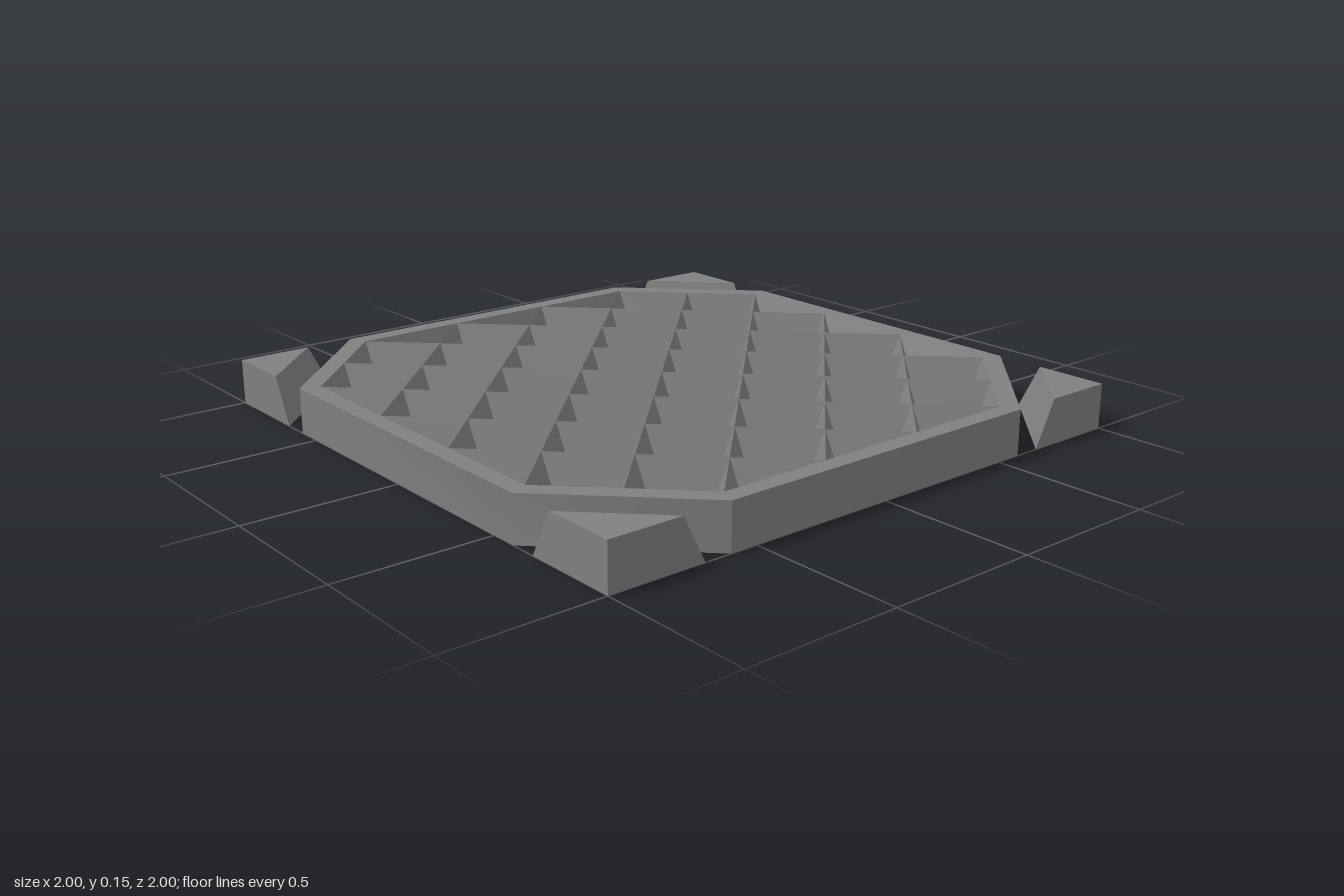
import * as THREE from 'three';
import { toCreasedNormals } from 'three/addons/utils/BufferGeometryUtils.js';

const H = 0.15;        // tile height
const U = 0.188;       // half the lattice pitch
const DRAFT = 0.053;   // sideways slope from bottom to top

const flat = new THREE.MeshStandardMaterial({ color: 0x808080, flatShading: true, side: THREE.DoubleSide });
const smooth = new THREE.MeshStandardMaterial({ color: 0x808080, side: THREE.DoubleSide });

// Strip of quads between two matching rows of points
function skin(rowA, rowB, closed = true) {
  const pos = [];
  const n = rowA.length;
  for (let i = 0; i < (closed ? n : n - 1); i++) {
    const k = (i + 1) % n;
    pos.push(...rowA[i], ...rowB[i], ...rowB[k], ...rowA[i], ...rowB[k], ...rowA[k]);
  }
  const geo = new THREE.BufferGeometry();
  geo.setAttribute('position', new THREE.Float32BufferAttribute(pos, 3));
  geo.computeVertexNormals();
  return geo;
}

// Octagon with flat sides at +-s whose diagonals start at +-t
function octagon(s, t, y) {
  return [[s, -t], [s, t], [t, s], [-t, s], [-s, t], [-s, -t], [-t, -s], [t, -s]]
    .map(([x, z]) => [x, y, z]);
}

// Hole wall: outline at the top, drawn in towards its incentre at the bottom
function funnel(outline, [cx, cz], inradius) {
  const f = 1 - DRAFT / inradius;
  return skin(
    outline.map(([x, z]) => [cx + x, H, cz + z]),
    outline.map(([x, z]) => [cx + x * f, 0, cz + z * f]),
  );
}

export function createModel() {
  const root = new THREE.Group();
  root.name = 'latticeTile';
  const add = (geo, name, parent = root, material = flat) => {
    const mesh = new THREE.Mesh(geo, material);
    mesh.name = name;
    parent.add(mesh);
    return mesh;
  };

  // Frame: flat rim, and outer walls softened at every second corner
  const low = octagon(1, 0.59, 0);
  const high = octagon(1, 0.59, H);
  add(skin(high, octagon(5 * U, 3 * U, H)), 'frameRim');
  for (let k = 1; k < 8; k += 2) {
    const pick = (ring) => [0, 1, 2].map((i) => ring[(k + i) % 8]);
    add(toCreasedNormals(skin(pick(low), pick(high), false), 1), 'frameWall', root, smooth);
  }

  // Lattice: neighbouring hole walls meet in ridges, hollow underneath
  const lattice = new THREE.Group();
  lattice.name = 'lattice';
  root.add(lattice);
  const diamond = [[U, 0], [0, U], [-U, 0], [0, -U]];
  for (let i = -4; i <= 4; i++) {
    for (let j = -4; j <= 4; j++) {
      if ((i + j) % 2 === 0 || Math.abs(i) + Math.abs(j) > 7) continue;
      add(funnel(diamond, [i * U, j * U], U / Math.SQRT2), 'latticeHole', lattice);
    }
  }

  // Half holes along the four straight sides
  const r = U * (Math.SQRT2 - 1);
  const triangle = [[U, r], [-U, r], [0, r - U]];
  for (let side = 0; side < 4; side++) {
    for (const i of [-2, 0, 2]) {
      const hole = add(funnel(triangle, [i * U, 5 * U - r], r), 'latticeHalfHole', lattice);
      hole.rotation.y = side * Math.PI / 2;
    }
  }

  // Loose corner wedges, wider at the bottom and hollow
  const corner = (t, y) => [[1, y, t], [1, y, 1], [t, y, 1]];
  const top = corner(0.755, H);
  for (let k = 0; k < 4; k++) {
    const wedge = new THREE.Group();
    wedge.name = 'cornerWedge';
    wedge.rotation.y = k * Math.PI / 2;
    root.add(wedge);
    add(skin(corner(0.68, 0), top), 'wedgeSides', wedge);
    add(skin(top, top.map(() => top[0])), 'wedgeTop', wedge);
  }
  return root;
}
